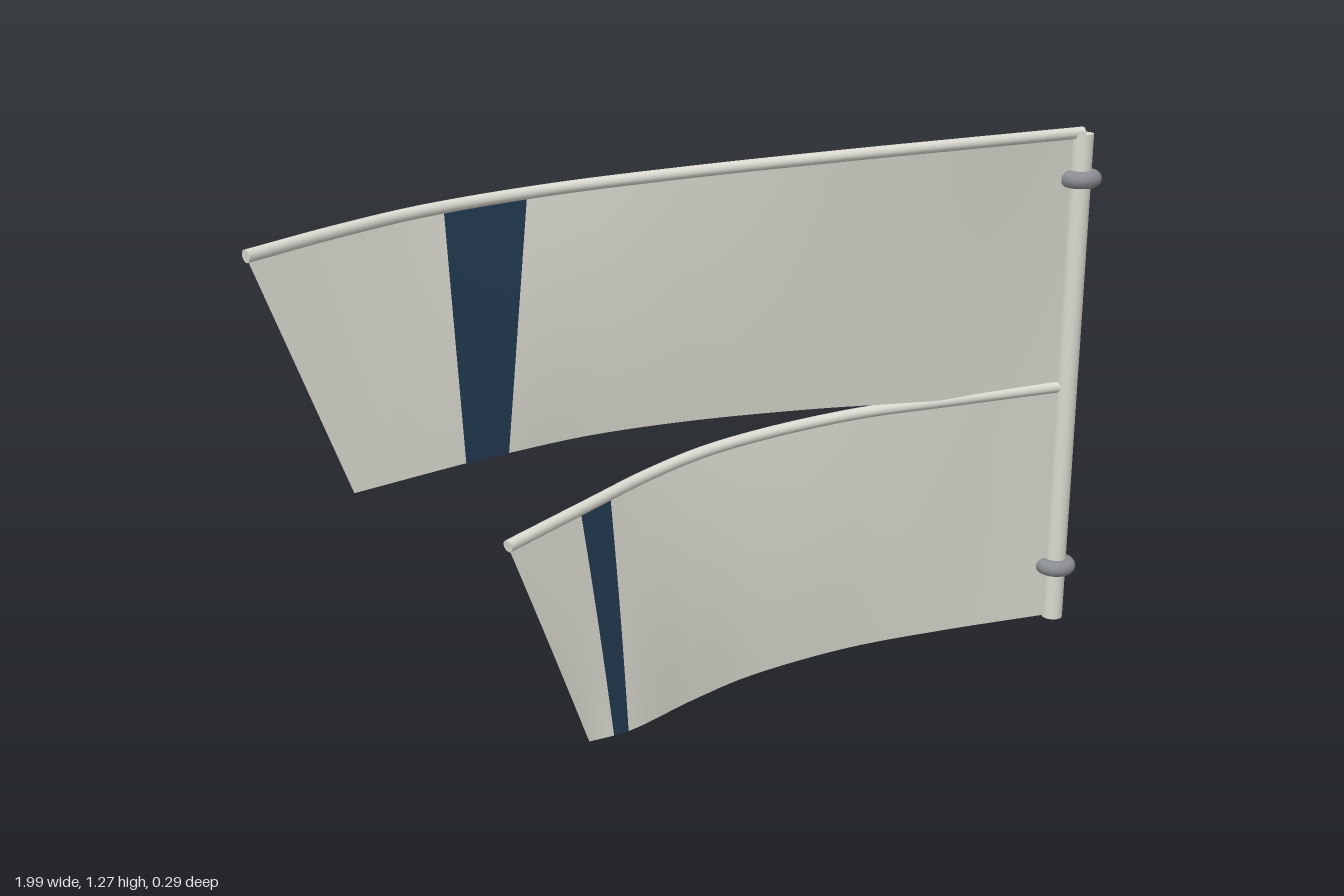
import * as THREE from 'three';

const POLE_X = 0.945, POLE_Z = -0.025;

const mat = (name, color, extra = {}) => new THREE.MeshStandardMaterial({ name, color, ...extra });

// smooth curve through [x, y, z] points
const curveOf = pts => new THREE.CatmullRomCurve3(pts.map(p => new THREE.Vector3(...p)));

// point on a curve at a given x (x rises along every curve)
function pointAtX(curve, x) {
  let lo = 0, hi = 1;
  for (let i = 0; i < 30; i++) {
    const mid = (lo + hi) / 2;
    if (curve.getPoint(mid).x < x) lo = mid; else hi = mid;
  }
  return curve.getPoint((lo + hi) / 2);
}

// cloth ruled between a top and a bottom edge, with one stripe band
function clothGeometry(top, bottom, stripeTop, stripeBottom, bow) {
  const bands = [14, 10, 50], rows = 12;
  const xt = [top.getPoint(0).x, ...stripeTop, POLE_X];
  const xb = [bottom.getPoint(0).x, ...stripeBottom, POLE_X];
  const pos = [], idx = [], columns = [];
  bands.forEach((n, b) => {
    for (let i = b ? 1 : 0; i <= n; i++) {
      columns.push([THREE.MathUtils.lerp(xt[b], xt[b + 1], i / n),
        THREE.MathUtils.lerp(xb[b], xb[b + 1], i / n)]);
    }
  });
  columns.forEach(([a, b], c) => {
    const p = pointAtX(top, a), q = pointAtX(bottom, b);
    const free = 1 - c / (columns.length - 1);
    for (let r = 0; r <= rows; r++) {
      const v = p.clone().lerp(q, r / rows);
      v.z += bow * free * Math.sin(Math.PI * r / rows);
      pos.push(v.x, v.y, v.z);
    }
  });
  for (let c = 0; c < columns.length - 1; c++) {
    for (let r = 0; r < rows; r++) {
      const a = c * (rows + 1) + r, d = a + rows + 1;
      idx.push(a, a + 1, d, d, a + 1, d + 1);
    }
  }
  const g = new THREE.BufferGeometry();
  g.setAttribute('position', new THREE.Float32BufferAttribute(pos, 3));
  g.setIndex(idx);
  let start = 0;
  bands.forEach((n, b) => {
    g.addGroup(start, n * rows * 6, b === 1 ? 1 : 0);
    start += n * rows * 6;
  });
  g.computeVertexNormals();
  return g;
}

export function createModel() {
  const model = new THREE.Group();
  model.name = 'twoBannersOnPole';
  const cloth = mat('cloth', 0xd3d2c9, { side: THREE.DoubleSide });
  const stripe = mat('navyStripe', 0x20374d, { side: THREE.DoubleSide });
  const paint = mat('polePaint', 0xdad9d0);
  const metal = mat('ringMetal', 0x8a8d91);

  const add = (name, geometry, material, parent = model) => {
    const m = new THREE.Mesh(geometry, material);
    m.name = name;
    parent.add(m);
    return m;
  };

  // upright pole and its two rings
  add('pole', new THREE.CylinderGeometry(0.026, 0.026, 1.225, 24), paint)
    .position.set(POLE_X, 0.6475, POLE_Z);
  for (const [name, y] of [['upperRing', 1.155], ['lowerRing', 0.175]]) {
    const ring = add(name, new THREE.TorusGeometry(0.031, 0.02, 14, 32), metal);
    ring.rotation.x = Math.PI / 2;
    ring.position.set(POLE_X, y, POLE_Z);
  }

  // a banner: cloth, rounded hem along the top and flat hem ends
  function addBanner(name, topPts, bottomPts, stripeTop, stripeBottom, bow) {
    const banner = new THREE.Group();
    banner.name = name;
    model.add(banner);
    const top = curveOf(topPts), bottom = curveOf(bottomPts);
    add('cloth', clothGeometry(top, bottom, stripeTop, stripeBottom, bow), [cloth, stripe], banner);
    add('topHem', new THREE.TubeGeometry(top, 80, 0.014, 12), paint, banner);
    for (const t of [0, 1]) {
      const cap = add('hemEnd', new THREE.CircleGeometry(0.014, 12), paint, banner);
      const p = top.getPoint(t), dir = top.getTangent(t).multiplyScalar(t ? 1 : -1);
      cap.position.copy(p);
      cap.lookAt(p.clone().add(dir));
    }
  }

  addBanner('upperBanner',
    [[-0.99, 1.153, 0.05], [-0.8, 1.169, -0.03], [-0.6, 1.183, -0.098], [-0.315, 1.2, -0.134],
      [0, 1.221, -0.107], [0.35, 1.245, -0.045], [0.62, 1.257, -0.017], [POLE_X, 1.262, POLE_Z]],
    [[-0.82, 0.658, 0.117], [-0.56, 0.655, 0.016], [-0.44, 0.652, -0.027], [-0.25, 0.649, -0.08],
      [0, 0.645, -0.105], [0.3, 0.642, -0.09], [0.6, 0.638, -0.053], [POLE_X, 0.64, POLE_Z]],
    [-0.555, -0.365], [-0.56, -0.455], 0);

  addBanner('lowerBanner',
    [[-0.505, 0.498, 0.128], [-0.29, 0.527, 0.027], [-0.13, 0.549, -0.046], [0.03, 0.571, -0.093],
      [0.21, 0.592, -0.109], [0.43, 0.617, -0.092], [0.62, 0.63, -0.062], [POLE_X, 0.645, POLE_Z]],
    [[-0.335, 0.002, 0.13], [-0.24, 0.004, 0.119], [-0.05, 0.005, 0.03], [0.12, 0.007, -0.035],
      [0.4, 0.012, -0.082], [0.65, 0.022, -0.07], [POLE_X, 0.04, POLE_Z]],
    [-0.315, -0.233], [-0.275, -0.238], 0.01);

  return model;
}
